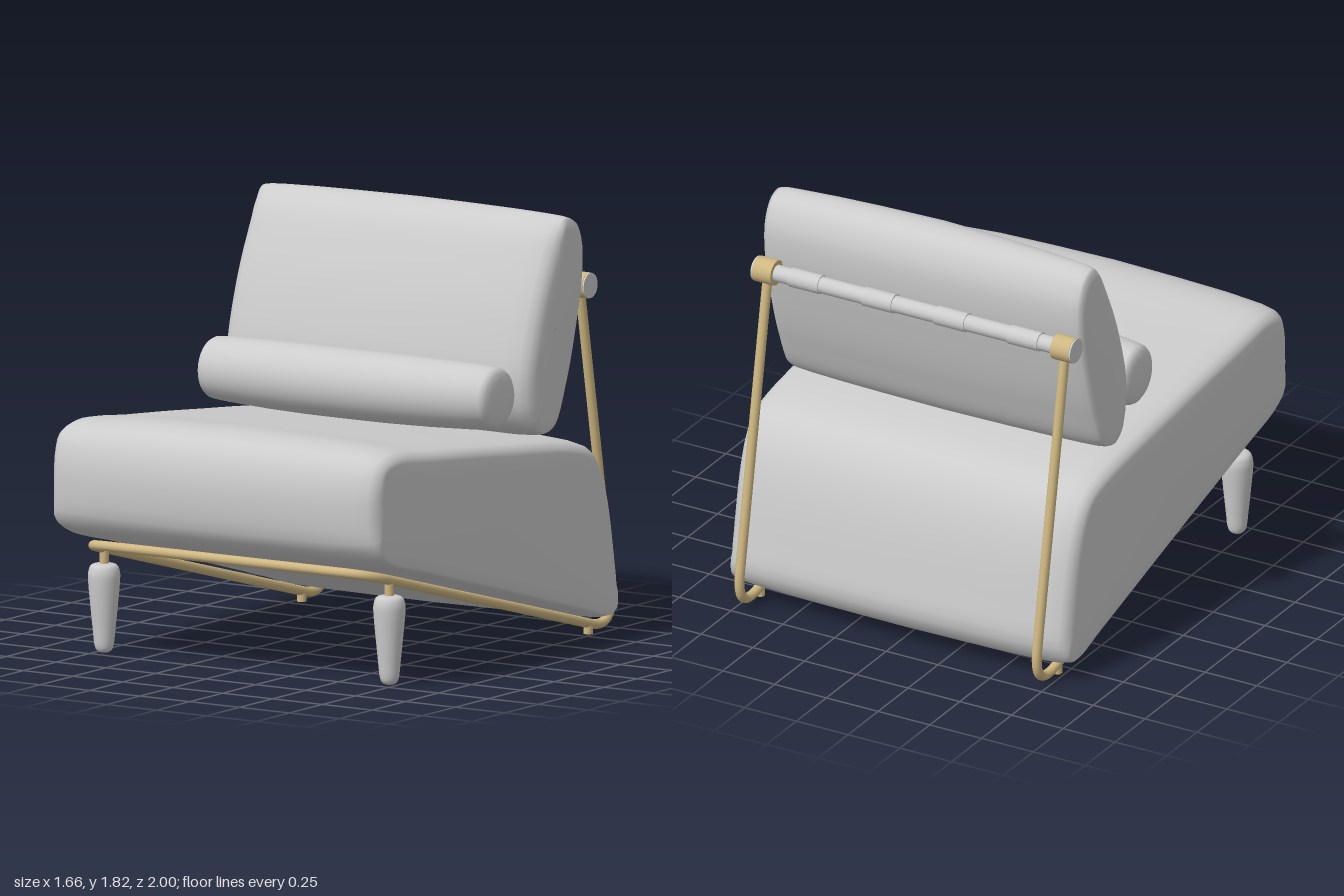
import * as THREE from 'three';

const fabric = new THREE.MeshStandardMaterial({ color: 0xcccccc });
fabric.name = 'light grey';
const brass = new THREE.MeshStandardMaterial({ color: 0xcfb782 });
brass.name = 'brass';

const V = (x, y, z) => new THREE.Vector3(x, y, z);

function part(name, geometry, material, x = 0, y = 0, z = 0) {
  const mesh = new THREE.Mesh(geometry, material);
  mesh.name = name;
  mesh.position.set(x, y, z);
  return mesh;
}

// Skin over closed rings that run from -x to +x
function loft(rings) {
  const n = rings[0].length, pos = [], idx = [];
  rings.forEach(r => r.forEach(p => pos.push(p.x, p.y, p.z)));
  for (let i = 0; i < rings.length - 1; i++) {
    for (let j = 0; j < n; j++) {
      const a = i * n + j, b = i * n + (j + 1) % n;
      idx.push(a, b, a + n, b, b + n, a + n);
    }
  }
  const g = new THREE.BufferGeometry();
  g.setAttribute('position', new THREE.Float32BufferAttribute(pos, 3));
  g.setIndex(idx);
  g.computeVertexNormals();
  return g;
}

// Stations [x, ...] for the +x half, mirrored to both sides
const mirrored = half => [
  ...half.slice(1).reverse().map(s => [-s[0], ...s.slice(1)]), ...half];

// Upholstered block: side profile (z, y) drawn in by an inset at each station
function cushion(profile, half, factor) {
  const curve = new THREE.CatmullRomCurve3(profile.map(([z, y]) => V(0, y, z)), true);
  const count = 96;
  const points = curve.getSpacedPoints(count).slice(0, count);
  const centre = points.reduce((c, p) => c.add(p), V(0, 0, 0)).divideScalar(count);
  const normals = points.map((p, j) => {
    const t = points[(j + 1) % count].clone().sub(points[(j + count - 1) % count]).normalize();
    return V(0, t.z, -t.y); // outward normal in the side plane
  });
  return loft(mirrored(half).map(([x, inset, scale]) => points.map((p, j) => {
    const q = p.clone().addScaledVector(normals[j], -inset * factor(normals[j]));
    q.lerp(centre, 1 - scale);
    q.x = x;
    return q;
  })));
}

// Straight path with rounded corners
function roundedPath(points, cuts) {
  const path = new THREE.CurvePath();
  let from = points[0];
  for (let i = 1; i < points.length - 1; i++) {
    const c = points[i];
    const a = c.clone().add(points[i - 1].clone().sub(c).setLength(cuts[i - 1]));
    const b = c.clone().add(points[i + 1].clone().sub(c).setLength(cuts[i - 1]));
    path.add(new THREE.LineCurve3(from, a));
    path.add(new THREE.QuadraticBezierCurve3(a, c, b));
    from = b;
  }
  path.add(new THREE.LineCurve3(from, points[points.length - 1]));
  return path;
}

function rod(radius, length) {
  return new THREE.CylinderGeometry(radius, radius, length, 24).rotateZ(Math.PI / 2);
}

export function createModel() {
  const model = new THREE.Group();
  model.name = 'loungeChair';

  // Wedge seat
  model.add(part('seatCushion', cushion(
    [[0, 0.955], [0.5, 1.005], [0.8, 1.03], [0.93, 0.985], [0.985, 0.88], [0.995, 0.74],
      [0.96, 0.59], [0.86, 0.52], [0.6, 0.448], [0, 0.285], [-0.6, 0.118], [-0.8, 0.064],
      [-0.9, 0.08], [-0.955, 0.17], [-0.94, 0.31], [-0.88, 0.6], [-0.82, 0.74],
      [-0.74, 0.83], [-0.6, 0.88]],
    [[0, 0, 1], [0.3, 0.006, 1], [0.55, 0.015, 1], [0.72, 0.03, 1], [0.78, 0.045, 1],
      [0.8, 0.06, 1], [0.815, 0.08, 1], [0.822, 0.105, 1], [0.827, 0.105, 0.85],
      [0.83, 0.105, 0.5], [0.83, 0.105, 0.001]],
    n => n.y < 0 ? THREE.MathUtils.lerp(1, 0.3, -n.y) : 1 - 0.25 * n.y), fabric));

  // Leaning backrest
  model.add(part('backCushion', cushion(
    [[-0.56, 1.82], [-0.46, 1.765], [-0.36, 1.6], [-0.27, 1.38], [-0.215, 1.15],
      [-0.235, 1.0], [-0.31, 0.91], [-0.42, 0.885], [-0.51, 0.92], [-0.6, 1.1],
      [-0.67, 1.32], [-0.72, 1.55], [-0.715, 1.7], [-0.66, 1.795]],
    [[0, 0, 1], [0.3, 0.012, 1], [0.5, 0.026, 1], [0.65, 0.045, 1], [0.72, 0.06, 1],
      [0.75, 0.08, 1], [0.765, 0.105, 1], [0.771, 0.12, 0.92], [0.775, 0.12, 0.6],
      [0.777, 0.12, 0.001]],
    n => n.z > 0 ? 0.25 + 0.75 * n.z : 0.25), fabric));

  // Bolster, bowed slightly forward in the middle
  const bolster = mirrored([[0, 0.147], [0.2, 0.147], [0.4, 0.144], [0.6, 0.138],
    [0.68, 0.133], [0.69, 0.126], [0.697, 0.131], [0.712, 0.122], [0.722, 0.108],
    [0.729, 0.08], [0.732, 0.04], [0.733, 0.0005]]);
  model.add(part('bolster', loft(bolster.map(([x, r]) => {
    const z = -0.1 - 0.035 * (x / 0.7) ** 2;
    return Array.from({ length: 40 }, (_, j) => {
      const a = j / 40 * Math.PI * 2;
      return V(x, 1.093 + r * Math.cos(a), z + r * Math.sin(a));
    });
  })), fabric));

  // One bent tube forms the posts, side rails and front rail
  const side = [V(0.718, 1.48, -0.747), V(0.718, -0.01, -1.015), V(0.718, 0.485, 0.85)];
  const points = [...side, ...side.slice().reverse().map(p => V(-p.x, p.y, p.z))];
  model.add(part('frame', new THREE.TubeGeometry(
    roundedPath(points, [0.2, 0.14, 0.14, 0.2]), 360, 0.021, 14, false), brass));

  // Rear rail with wrapped bands
  const railY = 1.49, railZ = -0.748;
  model.add(part('rearRail', rod(0.036, 1.36), fabric, 0, railY, railZ));
  for (const x of [-0.53, -0.175, 0.175, 0.53]) {
    model.add(part('railBand', rod(0.041, 0.145), fabric, x, railY, railZ));
  }

  // Tapered front leg with rounded ends
  const legProfile = new THREE.SplineCurve([[0, 0], [0.025, 0.005], [0.04, 0.03],
    [0.048, 0.1], [0.058, 0.2], [0.067, 0.3], [0.066, 0.345], [0.05, 0.374], [0, 0.38]]
    .map(([x, y]) => new THREE.Vector2(x, y))).getPoints(40);
  legProfile.forEach(p => { p.x = Math.max(p.x, 0); p.y = Math.max(p.y, 0); });
  const legGeometry = new THREE.LatheGeometry(legProfile, 28);

  for (const s of [-1, 1]) {
    model.add(part('railClamp', rod(0.055, 0.09), brass, s * 0.72, railY, railZ));
    model.add(part('railEndCap', rod(0.053, 0.008), fabric, s * 0.768, railY, railZ));
    model.add(part('frontLeg', legGeometry, fabric, s * 0.715, 0, 0.69));
    model.add(part('legStud', new THREE.CylinderGeometry(0.02, 0.02, 0.08, 16), brass,
      s * 0.715, 0.405, 0.69));
    model.add(part('rearFoot', new THREE.CylinderGeometry(0.02, 0.02, 0.045, 16), brass,
      s * 0.718, 0.0225, -0.81));
  }
  return model;
}
